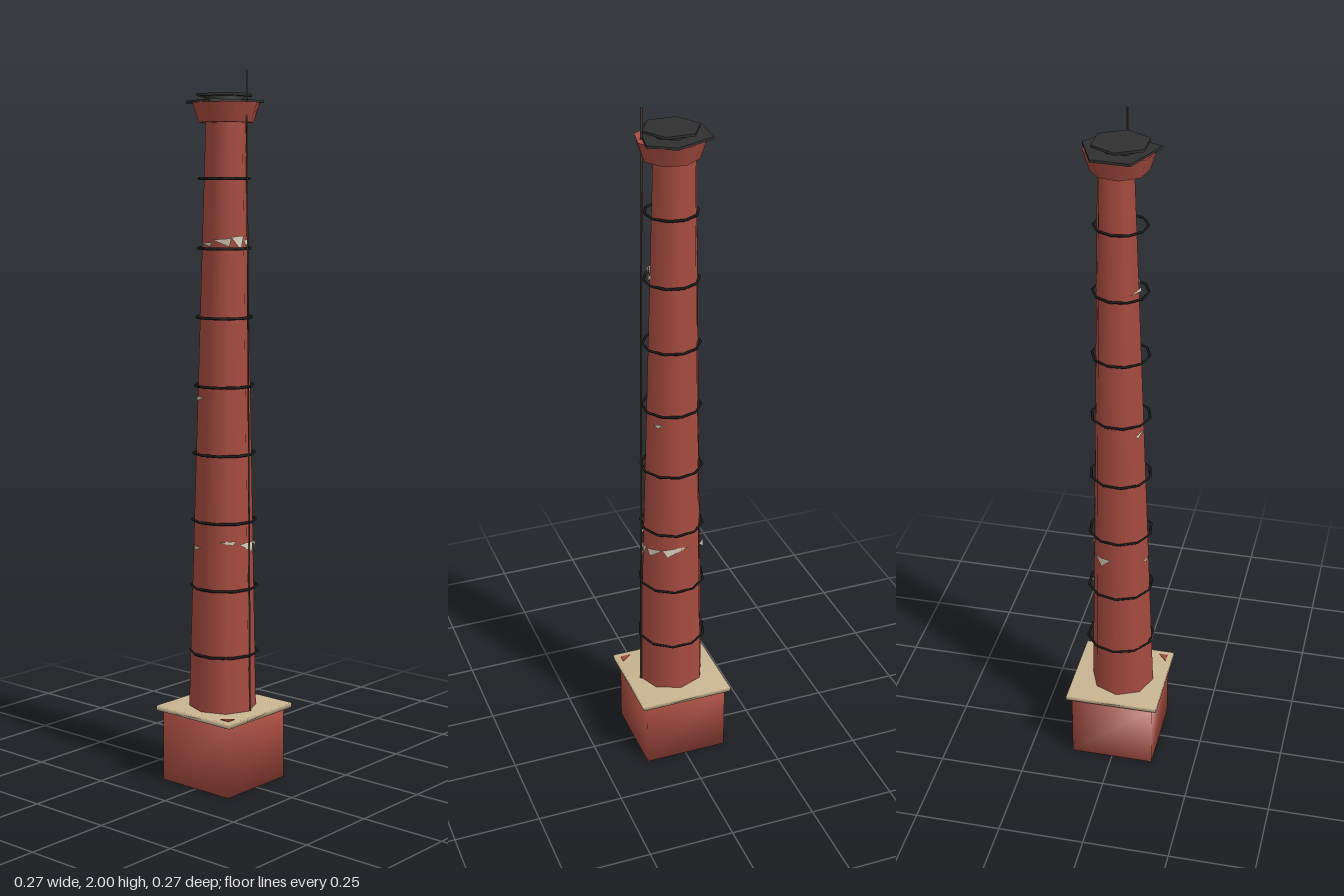
import * as THREE from 'three';
import { mergeVertices } from 'three/addons/utils/BufferGeometryUtils.js';

export function createModel() {
  const group = new THREE.Group();
  group.name = 'chimney';
  const material = (name, color, side = THREE.FrontSide) => {
    const m = new THREE.MeshStandardMaterial({ color, side });
    m.name = name;
    return m;
  };
  const brick = material('brick red', 0xa84c40);
  const stone = material('cream stone', 0xc9b592);
  const trim = material('pale trim', 0xd6cdb8, THREE.DoubleSide);
  const iron = material('black iron', 0x1c1c1c);
  const roof = material('dark cap', 0x303030);
  const metal = material('rod metal', 0x4a3d34);

  const add = (name, geometry, mat, x = 0, y = 0, z = 0) => {
    const mesh = new THREE.Mesh(geometry, mat);
    mesh.name = name;
    mesh.position.set(x, y, z);
    group.add(mesh);
    return mesh;
  };
  // Weld a box so its shading runs over the corners
  const softBox = (w, h, d) => {
    let g = new THREE.BoxGeometry(w, h, d);
    g.deleteAttribute('normal');
    g.deleteAttribute('uv');
    g = mergeVertices(g);
    g.computeVertexNormals();
    return g;
  };
  // Flat horizontal plate from x,z outline points
  const plate = (points, thickness) => {
    const shape = new THREE.Shape(points.map(([x, z]) => new THREE.Vector2(x, -z)));
    const g = new THREE.ExtrudeGeometry(shape, { depth: thickness, bevelEnabled: false });
    return g.rotateX(-Math.PI / 2);
  };

  // Plinth and its ledge, with one brick corner showing through
  add('plinth', softBox(0.245, 0.208, 0.245), brick, -0.002, 0.104, 0);
  add('ledge', softBox(0.274, 0.014, 0.274), stone, 0, 0.213, 0);
  add('plinthCorner', plate([[0.09, 0.12], [0.12, 0.12], [0.12, 0.095]], 0.003), brick, 0, 0.219, 0);

  // Tapering shaft, leaning slightly as it rises
  const y0 = 0.215, y1 = 1.87;
  const shaftPoint = (angle, y, out = 0) => {
    const t = (y - y0) / (y1 - y0), mix = THREE.MathUtils.lerp;
    return new THREE.Vector3(
      mix(0, -0.005, t) + Math.sin(angle) * (mix(0.098, 0.06, t) + out), y,
      mix(0.007, -0.012, t) + Math.cos(angle) * (mix(0.093, 0.049, t) + out));
  };
  const shaft = new THREE.CylinderGeometry(1, 1, y1 - y0, 8, 1);
  const pos = shaft.attributes.position;
  for (let i = 0; i < pos.count; i++) {
    const x = pos.getX(i), z = pos.getZ(i), y = pos.getY(i) > 0 ? y1 : y0;
    const r = Math.hypot(x, z);
    const p = shaftPoint(r > 0.5 ? Math.atan2(x, z) : 0, y, r > 0.5 ? 0 : -0.05);
    pos.setXYZ(i, p.x, p.y, p.z);
  }
  add('shaft', shaft, brick);

  // Iron hoops
  for (let i = 0; i < 8; i++) {
    const y = 0.38 + i * 0.19;
    const hoop = new THREE.TorusGeometry(0.097 - 0.0185 * (y - 0.38), 0.004, 4, 10);
    hoop.rotateX(Math.PI / 2).rotateY(i * 0.7);
    add('hoop' + (i + 1), hoop, iron, 0, y, 0);
  }

  // Broken slivers of pale trim: angle from, angle to, low y, high y, peak position
  const slivers = [
    [-0.8, 0.1, 1.525, 1.537, 0.9], [0.1, 0.9, 1.525, 1.548, 0.9], [0.9, 1.5, 1.515, 1.555, 0.7],
    [1.5, 1.9, 1.525, 1.545, 0.3],
    [-0.7, -0.1, 1.097, 1.11, 0.2], [2.1, 2.5, 1.1, 1.112, 0.5],
    [-0.5, -0.1, 0.677, 0.69, 0.3], [0.5, 1.1, 0.7, 0.712, 0.8], [1.2, 1.9, 0.675, 0.705, 0.8],
    [1.9, 2.5, 0.68, 0.705, 0.3], [2.5, 3.4, 0.685, 0.712, 0.2], [-2.4, -1.7, 0.675, 0.705, 0.5],
  ];
  for (const [a, b, low, high, k] of slivers) {
    const g = new THREE.BufferGeometry().setFromPoints([
      shaftPoint(a, high - 0.004, 0.004), shaftPoint(a + (b - a) * k, low, 0.006),
      shaftPoint(b, high, 0.004), shaftPoint(a + (b - a) * k, high, 0.006)]);
    g.setIndex([0, 1, 3, 3, 1, 2]);
    g.computeVertexNormals();
    add('trimSliver', g, trim);
  }

  // Flared crown and its two dark lids
  const crown = new THREE.CylinderGeometry(0.096, 0.078, 0.054, 8);
  add('crown', crown, brick, 0.004, 1.888, -0.004).rotation.y = 0.2;
  add('rim', plate([[-0.1, 0.045], [-0.093, -0.06], [0.02, -0.106], [0.09, -0.062],
    [0.075, 0.02], [0.035, 0.1], [-0.03, 0.075]], 0.007), roof, 0, 1.914, 0);
  add('lidNeck', new THREE.CylinderGeometry(0.055, 0.055, 0.012, 6), roof, 0, 1.926, 0);
  add('lid', new THREE.CylinderGeometry(0.08, 0.08, 0.007, 6), roof, 0, 1.935, 0).rotation.y = Math.PI / 6;

  // Lightning rod running down the model's left side
  const rodPath = new THREE.LineCurve3(new THREE.Vector3(0.097, 0.22, 0), new THREE.Vector3(0.08, 2, 0));
  add('lightningRod', new THREE.TubeGeometry(rodPath, 1, 0.0028, 4), metal);
  return group;
}
